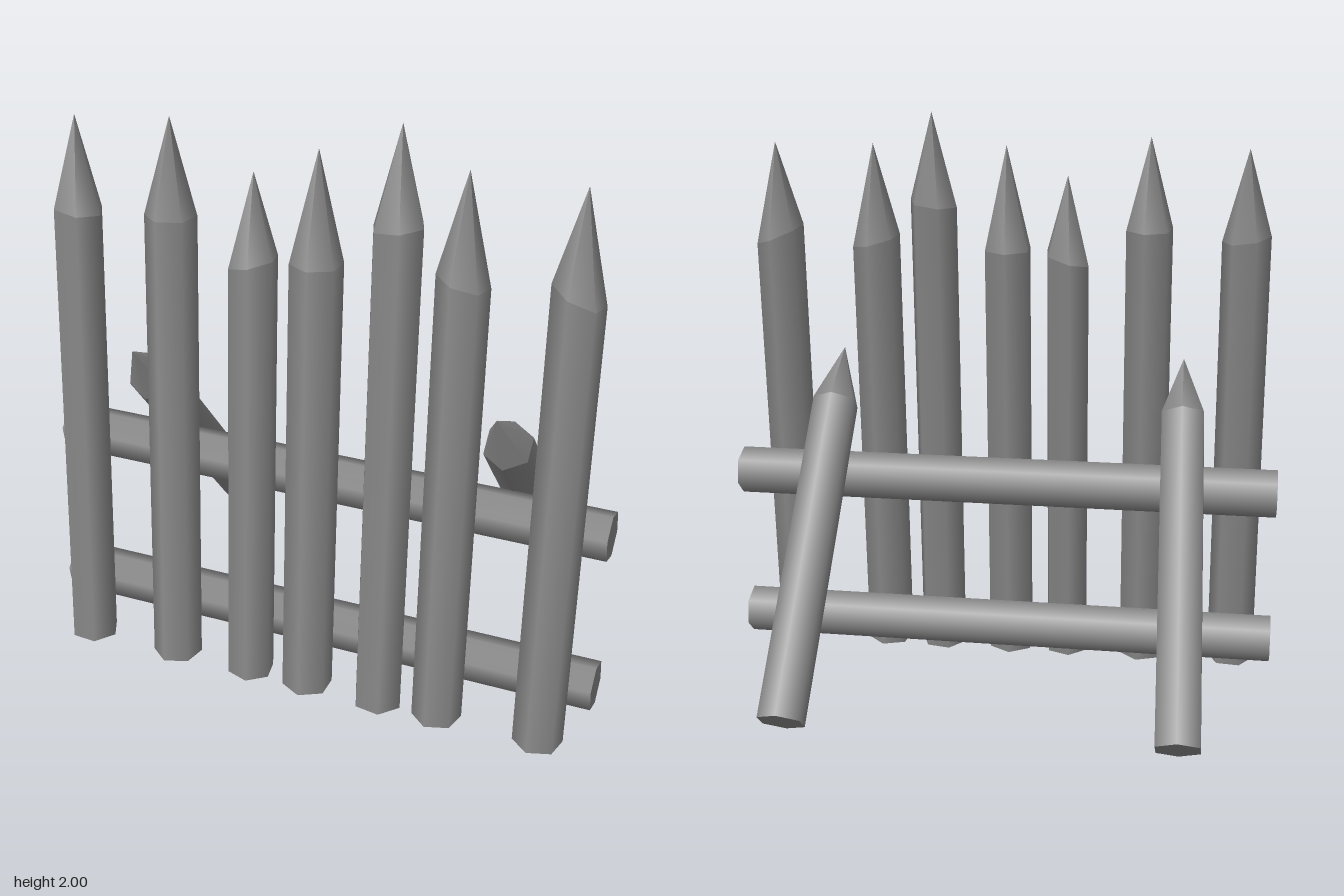
import * as THREE from 'three';
import { mergeGeometries } from 'three/addons/utils/BufferGeometryUtils.js';

const UP = new THREE.Vector3(0, 1, 0);
const SIDES = 6;

// Six-sided stake along +y: shaft up to the shoulder, then a point.
// slope tilts the shoulder cut sideways, roll turns the section about its axis.
function stakeGeometry(radius, shoulder, length, roll = 0, slope = 0) {
  const shaft = new THREE.CylinderGeometry(radius, radius, shoulder, SIDES, 1, true);
  shaft.translate(0, shoulder / 2, 0);
  const tip = new THREE.ConeGeometry(radius, length - shoulder, SIDES, 1, true);
  tip.translate(0, (length + shoulder) / 2, 0);
  const base = new THREE.CircleGeometry(radius, SIDES, Math.PI / 2);
  base.rotateX(Math.PI / 2);
  const geometry = mergeGeometries([shaft, tip, base]);
  geometry.rotateY(roll);
  const p = geometry.attributes.position;
  for (let i = 0; i < p.count; i++) {
    if (Math.abs(p.getY(i) - shoulder) < 1e-4) p.setY(i, shoulder + slope * p.getX(i));
  }
  return geometry;
}

export function createModel() {
  const group = new THREE.Group();
  const wood = new THREE.MeshStandardMaterial({ color: 0x888888 });

  function add(name, geometry, from, direction) {
    const mesh = new THREE.Mesh(geometry, wood);
    mesh.name = name;
    mesh.position.set(...from);
    mesh.quaternion.setFromUnitVectors(UP, direction.clone().normalize());
    group.add(mesh);
  }

  // Pickets, leaning back: x, tip height, shoulder height, radius, roll in degrees, shoulder slope
  const lean = THREE.MathUtils.degToRad(5);
  const leanDirection = new THREE.Vector3(0, Math.cos(lean), -Math.sin(lean));
  const pickets = [
    [-0.818, 1.89, 1.585, 0.083, 25, -0.15],
    [-0.49, 1.925, 1.61, 0.083, -10, 0],
    [-0.21, 1.79, 1.5, 0.08, 10, 0.27],
    [0, 1.89, 1.53, 0.085, 0, 0],
    [0.257, 2.0, 1.685, 0.085, 20, 0.12],
    [0.465, 1.89, 1.55, 0.083, -12, -0.25],
    [0.812, 1.89, 1.565, 0.083, -12, -0.4],
  ];
  const baseY = 0.008;
  pickets.forEach(([x, tipY, shoulderY, radius, roll, slope], i) => {
    const geometry = stakeGeometry(
      radius,
      (shoulderY - baseY) / Math.cos(lean),
      (tipY - baseY) / Math.cos(lean),
      THREE.MathUtils.degToRad(roll),
      slope
    );
    add(`picket${i + 1}`, geometry, [x, baseY, 0.466], leanDirection);
  });

  // Horizontal rails behind the pickets
  for (const [name, y, z] of [['lowerRail', 0.151, 0.304], ['upperRail', 0.711, 0.254]]) {
    const geometry = new THREE.CylinderGeometry(0.083, 0.083, 1.915, SIDES);
    geometry.rotateZ(Math.PI / 2);
    geometry.rotateX(THREE.MathUtils.degToRad(-20));
    const rail = new THREE.Mesh(geometry, wood);
    rail.name = name;
    rail.position.set(0, y, z);
    group.add(rail);
  }

  // Slanted braces propping up the back
  for (const [name, baseX, tipX] of [['rightBrace', -0.668, -0.617], ['leftBrace', 0.628, 0.607]]) {
    const direction = new THREE.Vector3(tipX - baseX, 1.065, 0.888);
    add(name, stakeGeometry(0.083, 1.165, direction.length()), [baseX, 0.08, -0.482], direction);
  }

  return group;
}
